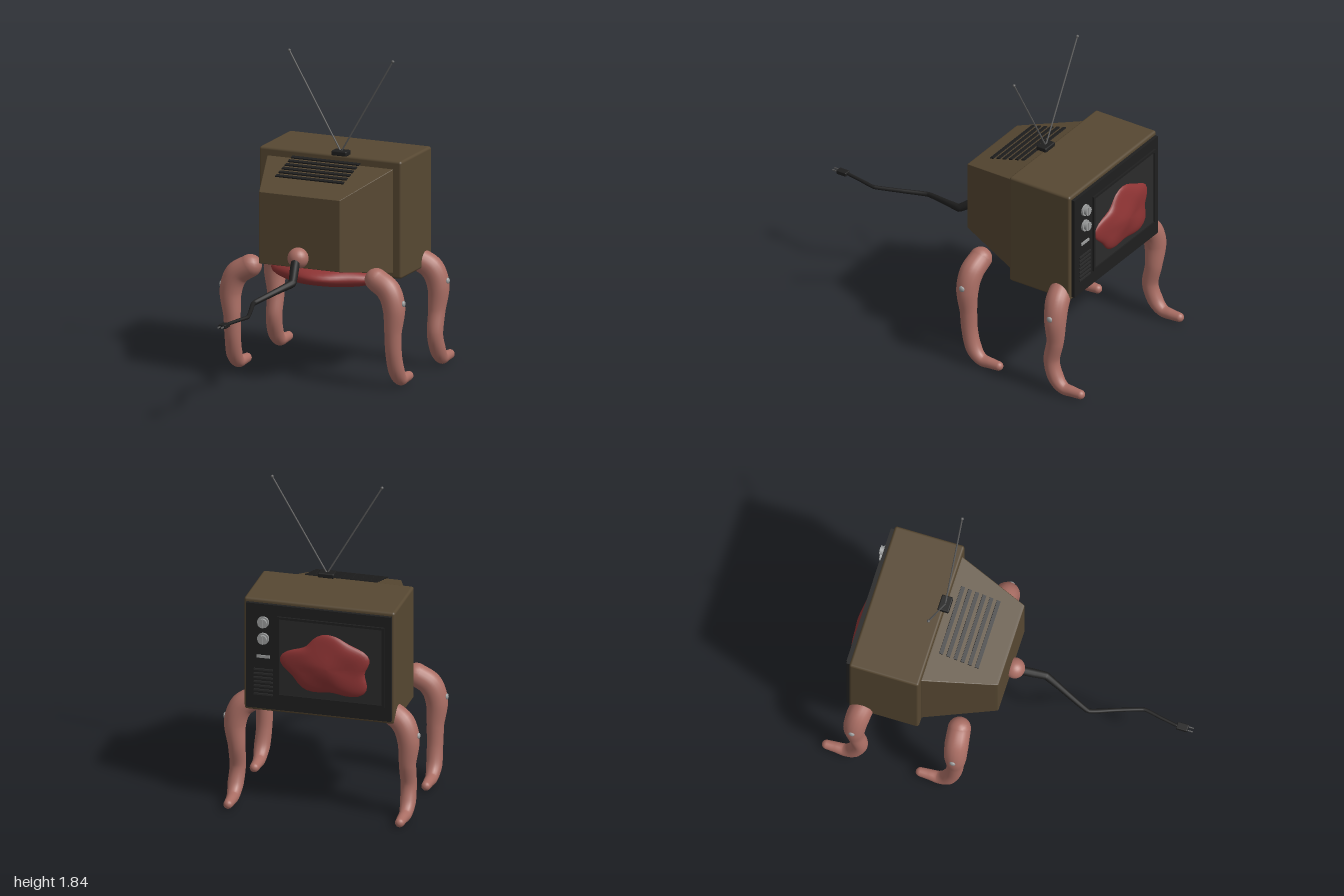
import * as THREE from 'three';
import { RoundedBoxGeometry } from 'three/addons/geometries/RoundedBoxGeometry.js';

const mat = (name, color) => Object.assign(new THREE.MeshStandardMaterial({ color }), { name });

export function createModel() {
  const model = new THREE.Group();
  model.name = 'walkingTelevision';
  const brown = mat('brownCasing', 0x574832);
  const black = mat('blackPlastic', 0x1f1f1f);
  const glass = mat('darkGlass', 0x2a2a2a);
  const flesh = mat('flesh', 0xaa6e64);
  const red = mat('redFlesh', 0x8e3434);
  const silver = mat('silverMetal', 0x9a9c9c);
  const steel = mat('antennaSteel', 0x5c5c5c);

  const add = (name, geo, material, x = 0, y = 0, z = 0, parent = model) => {
    const m = new THREE.Mesh(geo, material);
    m.name = name;
    m.position.set(x, y, z);
    parent.add(m);
    return m;
  };
  const box = (name, material, w, h, d, x, y, z) =>
    add(name, new THREE.BoxGeometry(w, h, d), material, x, y, z);

  // Straight round rod between two points
  const rod = (name, a, b, r, material) => {
    const dir = b.clone().sub(a);
    const m = add(name, new THREE.CylinderGeometry(r, r, dir.length(), 8), material);
    m.position.copy(a).addScaledVector(dir, 0.5);
    m.quaternion.setFromUnitVectors(new THREE.Vector3(0, 1, 0), dir.normalize());
  };

  // Tube through [x, y, z, radius] points, closed by ball ends
  const taperedTube = (name, pts, material, steps, sides, tension) => {
    const group = new THREE.Group();
    group.name = name;
    model.add(group);
    const path = new THREE.CatmullRomCurve3(
      pts.map(p => new THREE.Vector3(p[0], p[1], p[2])), false, 'catmullrom', tension);
    const geo = new THREE.TubeGeometry(path, steps, 1, sides, false);
    const pos = geo.attributes.position, v = new THREE.Vector3();
    for (let i = 0; i <= steps; i++) {
      const c = path.getPointAt(i / steps);
      const k = path.getUtoTmapping(i / steps) * (pts.length - 1);
      const n = Math.min(Math.floor(k), pts.length - 2);
      const r = THREE.MathUtils.lerp(pts[n][3], pts[n + 1][3], k - n);
      for (let j = 0; j <= sides; j++) {
        const id = i * (sides + 1) + j;
        v.fromBufferAttribute(pos, id).sub(c).multiplyScalar(r).add(c);
        pos.setXYZ(id, v.x, v.y, v.z);
      }
    }
    add(name + 'Skin', geo, material, 0, 0, 0, group);
    for (const p of [pts[0], pts[pts.length - 1]])
      add(name + 'End', new THREE.SphereGeometry(p[3], 16, 12), material, p[0], p[1], p[2], group);
    return group;
  };

  // Lumpy flattened blob; its thin axis is local y
  const blob = (name, rx, h, rz, lump) => {
    const geo = new THREE.SphereGeometry(1, 48, 24);
    const p = geo.attributes.position;
    for (let i = 0; i < p.count; i++) {
      const x = p.getX(i), y = p.getY(i), z = p.getZ(i), a = Math.atan2(z, x);
      const flat = Math.hypot(x, z);
      const w = 1 + flat * lump * (Math.sin(5 * a + 0.6) * 0.6 + Math.sin(3 * a + 2) * 0.5);
      const bump = 1 + lump * (Math.sin(5 * x + 1) * Math.cos(4 * z) - 0.4 * x);
      p.setXYZ(i, x * w * rx, y * bump * h, z * w * rz);
    }
    geo.computeVertexNormals();
    return add(name, geo, red);
  };

  // Cabinet and its tapering rear housing
  add('cabinet', new RoundedBoxGeometry(0.88, 0.68, 0.41, 2, 0.015), brown, 0, 0.92, -0.685);
  const housing = new RoundedBoxGeometry(2, 2, 0.42, 2, 0.014);
  const hp = housing.attributes.position;
  for (let i = 0; i < hp.count; i++) {
    const t = (hp.getZ(i) + 0.21) / 0.42;
    hp.setX(i, hp.getX(i) * THREE.MathUtils.lerp(0.393, 0.25, t));
    hp.setY(i, hp.getY(i) * THREE.MathUtils.lerp(0.303, 0.208, t) - 0.01 * t);
  }
  housing.computeVertexNormals();
  add('rearHousing', housing, brown, 0, 0.912, -0.28);

  // Vent slats above the sloping housing
  for (let i = 0; i < 6; i++)
    box('ventSlat', black, 0.42, 0.007, 0.022, 0, 1.176 + i * 0.0118, -0.21 - i * 0.042)
      .rotation.x = 0.274;

  // Screen panel, glass and frame
  box('facePanel', black, 0.845, 0.635, 0.03, 0, 0.92, -0.895);
  box('screenGlass', glass, 0.6, 0.46, 0.006, -0.073, 0.93, -0.911);
  for (const s of [-1, 1]) {
    box('screenFrameRail', black, 0.625, 0.014, 0.014, -0.073, 0.93 + s * 0.236, -0.914);
    box('screenFrameSide', black, 0.014, 0.486, 0.014, -0.073 + s * 0.306, 0.93, -0.914);
  }

  // Knobs, trim bar and speaker grille
  for (const y of [1.13, 1.03]) {
    add('knobSkirt', new THREE.CylinderGeometry(0.034, 0.034, 0.012, 24), silver, 0.32, y, -0.916)
      .rotation.x = Math.PI / 2;
    add('knob', new THREE.CylinderGeometry(0.024, 0.027, 0.026, 24), silver, 0.32, y, -0.928)
      .rotation.x = Math.PI / 2;
    box('knobGrip', silver, 0.01, 0.05, 0.01, 0.32, y, -0.938);
  }
  box('trimBar', silver, 0.075, 0.016, 0.008, 0.32, 0.92, -0.913);
  for (let i = 0; i < 7; i++)
    box('speakerSlat', glass, 0.11, 0.01, 0.008, 0.32, 0.69 + i * 0.025, -0.913);

  // Flesh bulging from the screen and the underside
  const screenBlob = blob('screenFlesh', 0.25, 0.045, 0.175, 0.16);
  screenBlob.position.set(-0.06, 0.9, -0.912);
  screenBlob.rotation.x = -Math.PI / 2;
  const belly = blob('bellyFlesh', 0.32, 0.075, 0.235, 0.08);
  belly.position.set(-0.05, 0.57, -0.54);
  belly.rotation.z = -0.04;

  // Antenna
  add('antennaBase', new RoundedBoxGeometry(0.094, 0.028, 0.066, 2, 0.007), black, 0.068, 1.276, -0.48);
  for (const s of [-1, 1]) {
    const tip = new THREE.Vector3(0.068 + s * 0.32, 1.835, -0.48);
    rod('antennaRod', new THREE.Vector3(0.068, 1.28, -0.48), tip, 0.0045, steel);
    add('antennaTip', new THREE.SphereGeometry(0.009, 12, 8), steel, tip.x, tip.y, tip.z);
  }

  // Legs: x, y, z offset and radius from hip to toe
  const legPath = [
    [0.39, 0.625, 0, 0.066], [0.47, 0.57, 0.008, 0.069], [0.505, 0.47, 0.012, 0.064],
    [0.498, 0.33, 0.01, 0.049], [0.498, 0.2, 0, 0.046], [0.502, 0.1, -0.03, 0.046],
    [0.502, 0.045, -0.08, 0.037], [0.5, 0.038, -0.14, 0.031], [0.5, 0.037, -0.195, 0.027]];
  for (const s of [-1, 1]) for (const [name, z0, bend] of [['frontLeg', -0.807, -2.4], ['rearLeg', -0.255, 1]]) {
    taperedTube(name, legPath.map(([x, y, z, r]) =>
      [s * x, y, z0 + (z > 0 ? z * bend : z), r]), flesh, 60, 18, 0.5);
    const bolt = add('legBolt', new THREE.SphereGeometry(0.018, 14, 10), silver,
      s * 0.563, 0.505, z0 + 0.012 * bend);
    bolt.scale.x = 0.6;
  }

  // Power cord with its fleshy root and plug
  add('cordRoot', new THREE.SphereGeometry(0.06, 24, 16), flesh, 0, 0.755, -0.052);
  taperedTube('powerCord', [
    [0, 0.745, -0.02, 0.026], [0.022, 0.698, 0.05, 0.026], [0.043, 0.652, 0.12, 0.023],
    [0.013, 0.634, 0.2, 0.019], [-0.065, 0.59, 0.4, 0.014], [-0.013, 0.589, 0.55, 0.012],
    [0.037, 0.588, 0.7, 0.011], [0.018, 0.588, 0.8, 0.01], [0, 0.588, 0.9, 0.009]],
    black, 80, 12, 0.15);
  add('plug', new RoundedBoxGeometry(0.042, 0.024, 0.066, 2, 0.005), black, 0, 0.588, 0.935);
  for (const s of [-1, 1])
    box('plugProng', steel, 0.005, 0.008, 0.034, s * 0.011, 0.588, 0.983);

  return model;
}
